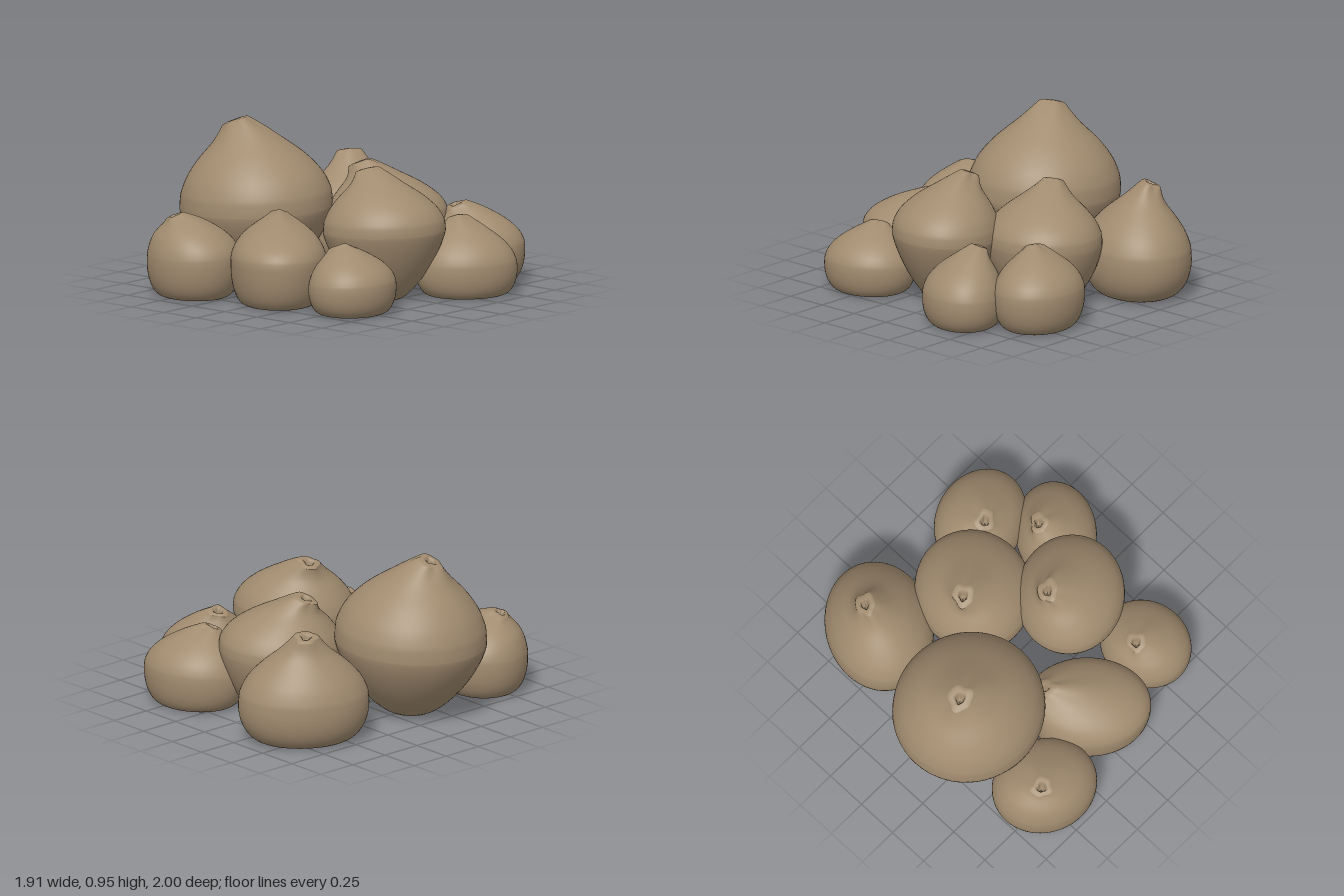
import * as THREE from 'three';

const SIDES = 56;

// Each bulb: x/z centre and half extents of the widest ring, skew of its outline,
// tip x/z, height, height of the widest ring, base size, lower roundness, upper sharpness
const BULBS = [
  { name: 'largestBulb', c: [-0.51, 0.145], r: [0.45, 0.435], skew: 0, tip: [-0.63, 0.19], h: 0.95, wide: 0.43, base: 0.24, round: 1.4, sharp: 1 },
  { name: 'backRightBulb', c: [-0.45, -0.635], r: [0.33, 0.365], skew: -0.18, tip: [-0.52, -0.68], h: 0.66, wide: 0.21, base: 0.62, round: 2, sharp: 1.2 },
  { name: 'backLeftBulb', c: [0.435, -0.68], r: [0.305, 0.26], skew: -0.1, tip: [0.38, -0.59], h: 0.47, wide: 0.18, base: 0.68, round: 2, sharp: 0.75 },
  { name: 'leftBulb', c: [0.695, -0.325], r: [0.26, 0.275], skew: -0.22, tip: [0.59, -0.36], h: 0.46, wide: 0.14, base: 0.7, round: 2, sharp: 0.85 },
  { name: 'middleBulb', c: [0.05, -0.36], r: [0.34, 0.36], skew: -0.05, tip: [-0.1, -0.3], h: 0.7, wide: 0.35, base: 0.43, round: 1.5, sharp: 1.05 },
  { name: 'tallLeftBulb', c: [0.41, 0.07], r: [0.34, 0.33], skew: -0.12, tip: [0.25, 0.04], h: 0.75, wide: 0.39, base: 0.28, round: 1.3, sharp: 1 },
  { name: 'frontRightBulb', c: [-0.48, 0.725], r: [0.3, 0.275], skew: 0.12, tip: [-0.57, 0.79], h: 0.48, wide: 0.2, base: 0.68, round: 2, sharp: 0.65 },
  { name: 'frontMiddleBulb', c: [0.04, 0.575], r: [0.32, 0.325], skew: 0.26, tip: [-0.13, 0.38], h: 0.5, wide: 0.23, base: 0.72, round: 2, sharp: 0.6 },
  { name: 'frontLeftBulb', c: [0.565, 0.525], r: [0.245, 0.275], skew: 0.03, tip: [0.47, 0.54], h: 0.4, wide: 0.14, base: 0.7, round: 2, sharp: 0.75 },
];

// Shoulder from the widest ring to the tip: radius fraction, height fraction
const shoulder = new THREE.SplineCurve(
  [[1, 0], [0.995, 0.1], [0.97, 0.22], [0.87, 0.4], [0.67, 0.6], [0.38, 0.8], [0.19, 0.92], [0.05, 1]]
    .map(([r, u]) => new THREE.Vector2(r, u)));

function bulbGeometry(b, seed) {
  const rim = 0.032 + 0.03 * b.r[0];
  const top = b.h - 0.022;
  const mean = (b.r[0] + b.r[1]) / 2;
  const rows = []; // f: radius fraction, y: height, u: progress up the shoulder

  // Flat base, its edge doubled to stay crisp
  rows.push({ f: 0, y: 0, u: 0 }, { f: b.base, y: 0, u: 0 });
  // Rounded underside
  for (let i = 0; i < 12; i++) {
    const a = (i / 12) * Math.PI / 2;
    rows.push({
      f: b.base + (1 - b.base) * Math.pow(Math.sin(a), 2 / b.round),
      y: b.wide * (1 - Math.pow(Math.cos(a), 2 / b.round)), u: 0,
    });
  }
  // Shoulder, pinching to the same narrow neck on every bulb
  for (const p of shoulder.getPoints(35)) {
    const u = Math.max(0, p.y);
    const power = b.sharp + (1 - b.sharp) * u ** 6;
    rows.push({
      f: Math.pow(Math.min(1, Math.max(p.x, 0)), power) + (rim / mean) * u ** 5,
      y: b.wide + (top - b.wide) * u, u,
    });
  }
  // Lip rolling into the small opening
  for (const [k, dy] of [[0.85, 0.006], [0.65, 0.002], [0.5, -0.015], [0.4, -0.045], [0, -0.055]]) {
    rows.push({ f: k * rim / mean, y: top + dy, u: 1 });
  }

  // The lip leans up on the side facing the bulb's centre
  const dir = new THREE.Vector2(b.c[0] - b.tip[0], b.c[1] - b.tip[1]).normalize();
  const pos = [], index = [];
  rows.forEach(({ f, y, u }, i) => {
    const shift = u ** 2.7;
    const pucker = u ** 8;
    const lean = 0.08 * y / b.h + 0.32 * u ** 6;
    for (let j = 0; j < SIDES; j++) {
      const t = (j / SIDES) * Math.PI * 2;
      const wobble = 1 + pucker * (0.1 * Math.sin(3 * t + seed) + 0.07 * Math.sin(5 * t + 2 * seed));
      const dx = b.r[0] * f * wobble * Math.cos(t);
      const dz = b.r[1] * f * wobble * Math.sin(t + b.skew);
      pos.push(
        b.c[0] + (b.tip[0] - b.c[0]) * shift + dx,
        y + lean * (dx * dir.x + dz * dir.y),
        b.c[1] + (b.tip[1] - b.c[1]) * shift + dz);
      if (i === rows.length - 1 || i === 1) continue;
      const a = i * SIDES + j, n = i * SIDES + (j + 1) % SIDES;
      index.push(a, a + SIDES, n, n, a + SIDES, n + SIDES);
    }
  });

  const g = new THREE.BufferGeometry();
  g.setAttribute('position', new THREE.Float32BufferAttribute(pos, 3));
  g.setIndex(index);
  g.computeVertexNormals();
  return g;
}

export function createModel() {
  const group = new THREE.Group();
  group.name = 'bulbCluster';
  const skin = new THREE.MeshStandardMaterial({ color: 0xa18b6f });
  skin.name = 'tanSkin';
  BULBS.forEach((b, i) => {
    const mesh = new THREE.Mesh(bulbGeometry(b, i * 1.7), skin);
    mesh.name = b.name;
    group.add(mesh);
  });
  return group;
}
